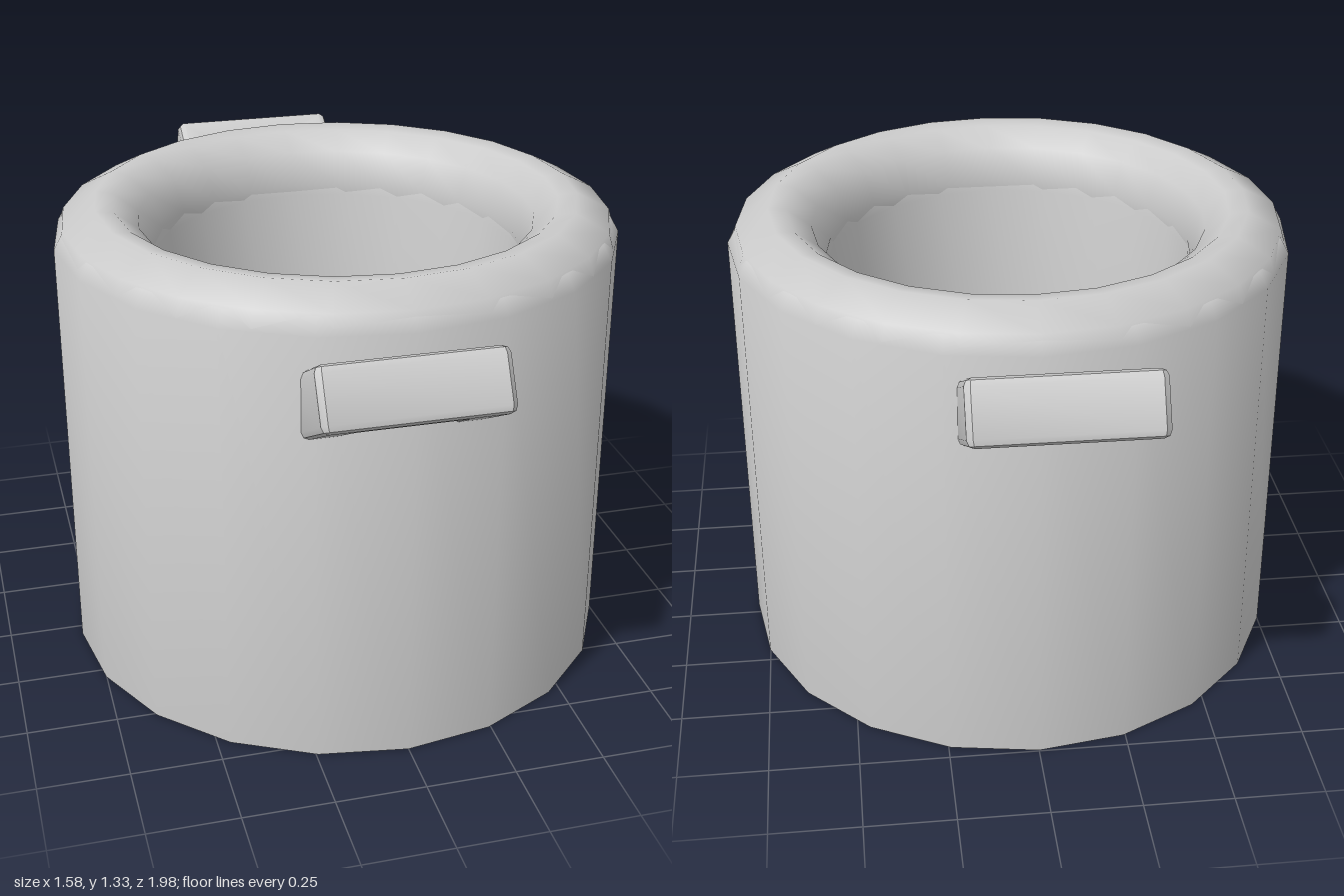
import * as THREE from 'three';
import { toCreasedNormals } from 'three/addons/utils/BufferGeometryUtils.js';

const POT_Z = 0.043; // the pot sits slightly forward of the handles' midpoint
const TILT = THREE.MathUtils.degToRad(29);
const material = new THREE.MeshStandardMaterial({ color: 0xcccccc });

function addLathe(group, name, points, segments) {
  const profile = points.map(([r, y]) => new THREE.Vector2(r, y));
  const geometry = toCreasedNormals(new THREE.LatheGeometry(profile, segments), 0.85);
  const mesh = new THREE.Mesh(geometry, material);
  mesh.name = name;
  mesh.position.z = POT_Z;
  group.add(mesh);
}

// U-shaped grip: bar at local y = 0, legs running to negative y
function handleGeometry() {
  const half = 0.245, inner = 0.132, bar = 0.095, length = 0.33, thick = 0.168, bevel = 0.02, r = 0.03;
  const shape = new THREE.Shape();
  shape.moveTo(-half, -length);
  shape.lineTo(-inner, -length);
  shape.lineTo(-inner, -bar - r);
  shape.quadraticCurveTo(-inner, -bar, -inner + r, -bar);
  shape.lineTo(inner - r, -bar);
  shape.quadraticCurveTo(inner, -bar, inner, -bar - r);
  shape.lineTo(inner, -length);
  shape.lineTo(half, -length);
  shape.lineTo(half, -0.015);
  shape.lineTo(half - 0.015, 0);
  shape.lineTo(-half + 0.015, 0);
  shape.lineTo(-half, -0.015);
  const geometry = new THREE.ExtrudeGeometry(shape, {
    depth: thick - 2 * bevel, bevelEnabled: true, bevelThickness: bevel,
    bevelSize: bevel, bevelOffset: -bevel, bevelSegments: 2, curveSegments: 4,
  });
  geometry.translate(0, 0, -thick / 2 + bevel);
  return toCreasedNormals(geometry, 0.7);
}

export function createModel() {
  const group = new THREE.Group();
  group.name = 'cookingPot';

  // Outer wall with its base and bevelled shoulder
  addLathe(group, 'potBody', [
    [0, 0], [0.79, 0], [0.79, 1.235], [0.765, 1.278], [0.7, 1.3],
  ], 20);

  // Thick rounded rim
  addLathe(group, 'rim', [
    [0.78, 1.235], [0.765, 1.285], [0.672, 1.333], [0.62, 1.325],
    [0.555, 1.275], [0.52, 1.18], [0.53, 1.12],
  ], 24);

  // Tapered inside wall and floor
  addLathe(group, 'potInterior', [
    [0.535, 1.2], [0.52, 1.15], [0.465, 0.15], [0, 0.15],
  ], 20);

  // Handles tilted upward; the back one is set a little higher
  const geometry = handleGeometry();
  const s = Math.sin(TILT), c = Math.cos(TILT);
  for (const [name, side, y] of [['frontHandle', 1, 1.148], ['backHandle', -1, 1.207]]) {
    const handle = new THREE.Mesh(geometry, material);
    handle.name = name;
    const basis = new THREE.Matrix4().makeBasis(
      new THREE.Vector3(-side, 0, 0),
      new THREE.Vector3(0, s, side * c),
      new THREE.Vector3(0, c, -side * s),
    );
    handle.quaternion.setFromRotationMatrix(basis);
    handle.position.set(-0.035, y, side * 0.957);
    group.add(handle);
  }
  return group;
}
